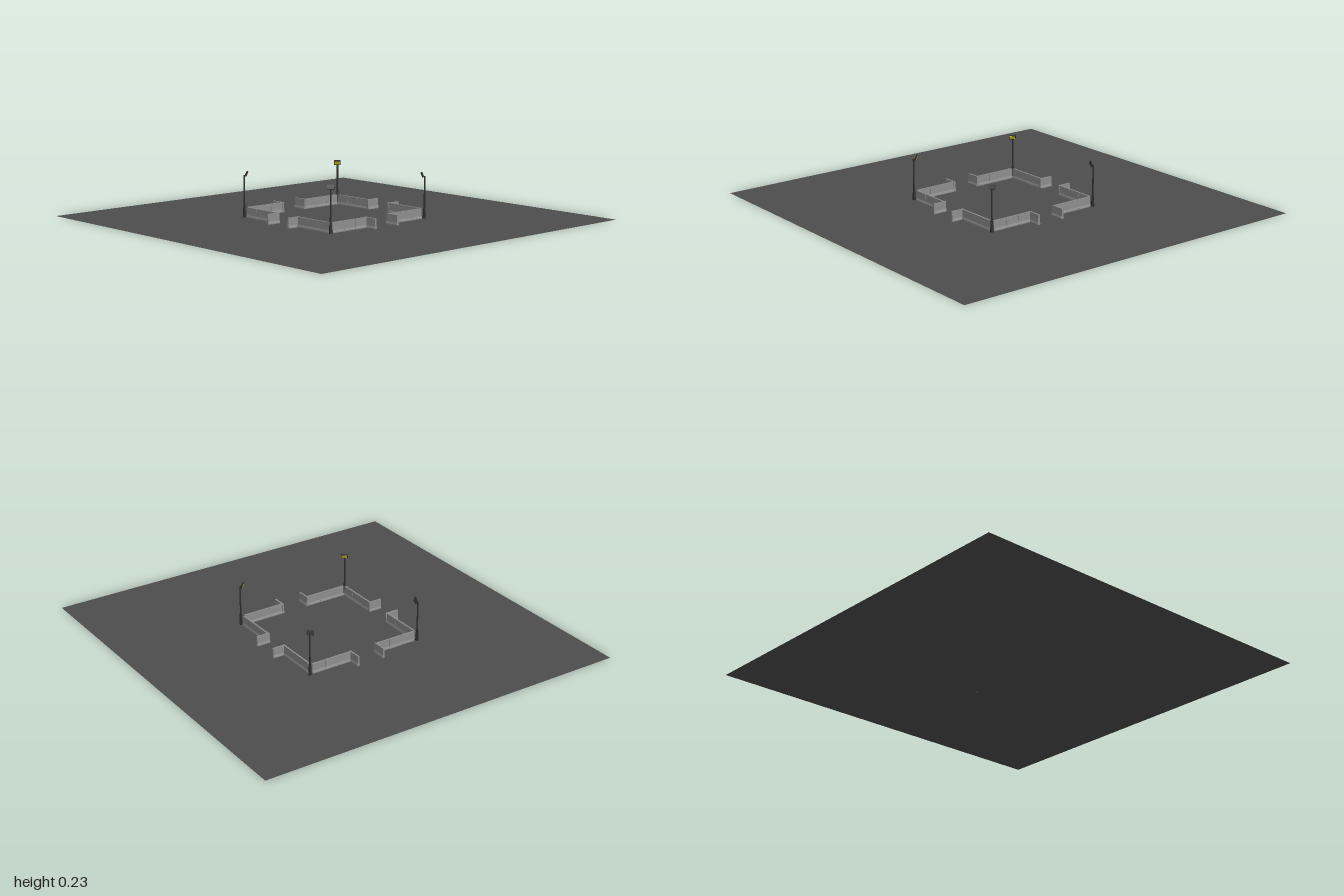
import * as THREE from 'three';

const mat = (color) => new THREE.MeshStandardMaterial({ color, flatShading: true });

export function createModel() {
  const model = new THREE.Group();
  const concrete = mat(0x8c8c8c), steel = mat(0x2c2c2c), yellow = mat(0xd8c81e);
  const asphalt = mat(0x4d4d4d);
  asphalt.side = THREE.DoubleSide;

  const add = (parent, name, geometry, material, x = 0, y = 0, z = 0) => {
    const mesh = new THREE.Mesh(geometry, material);
    mesh.name = name;
    mesh.position.set(x, y, z);
    parent.add(mesh);
    return mesh;
  };

  // Flat square ground
  add(model, 'ground', new THREE.PlaneGeometry(2, 2).rotateX(-Math.PI / 2), asphalt);

  // Barrier segment: flared foot, slim top, extruded along its length
  const length = 0.075;
  const half = [[0.0085, 0], [0.0085, 0.005], [0.0055, 0.014], [0.0045, 0.052]];
  const outline = [...half, ...half.map(([x, y]) => [-x, y]).reverse()];
  const profile = new THREE.Shape(outline.map(([x, y]) => new THREE.Vector2(x, y)));
  const barrier = new THREE.ExtrudeGeometry(profile, { depth: length - 0.001, bevelEnabled: false });
  barrier.translate(0, 0, -(length - 0.001) / 2);

  // One corner: two walls with outward stubs, and a floodlight
  for (let i = 0; i < 4; i++) {
    const corner = new THREE.Group();
    corner.name = 'corner' + (i + 1);
    corner.rotation.y = i * Math.PI / 2;
    model.add(corner);

    for (let k = 0; k < 3; k++) {
      const along = 0.08 + length * (k + 0.5);
      add(corner, 'wallBarrier', barrier, concrete, along, 0, 0.312).rotation.y = Math.PI / 2;
      add(corner, 'wallBarrier', barrier, concrete, 0.312, 0, along);
    }
    add(corner, 'gateBarrier', barrier, concrete, 0.075, 0, 0.341);
    add(corner, 'gateBarrier', barrier, concrete, 0.341, 0, 0.075).rotation.y = Math.PI / 2;

    // Floodlight: local +z points to the centre
    const light = new THREE.Group();
    light.name = 'floodlight';
    light.position.set(0.321, 0, 0.321);
    light.rotation.y = -Math.PI * 3 / 4;
    corner.add(light);
    add(light, 'poleBase', new THREE.CylinderGeometry(0.004, 0.009, 0.08, 8), steel, 0, 0.04, 0);
    add(light, 'pole', new THREE.CylinderGeometry(0.004, 0.004, 0.215, 8), steel, 0, 0.1075, 0);

    const head = new THREE.Group();
    head.name = 'lampHead';
    head.position.set(0, 0.222, 0.012);
    head.rotation.x = 0.4;
    light.add(head);
    add(head, 'housing', new THREE.BoxGeometry(0.034, 0.024, 0.009), steel);
    add(head, 'lens', new THREE.BoxGeometry(0.029, 0.019, 0.002), yellow, 0, 0, 0.0045);
  }
  return model;
}
